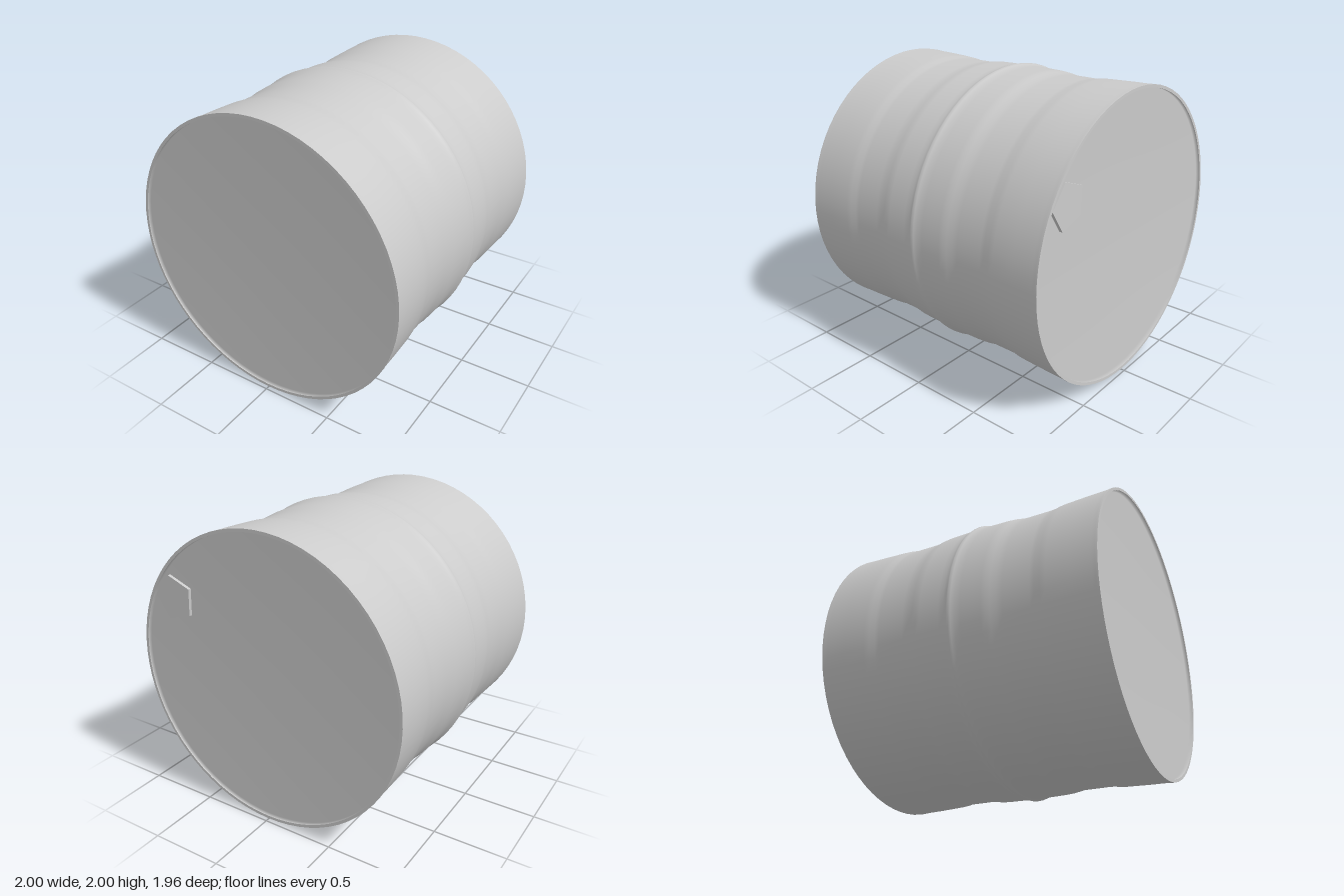
import * as THREE from 'three';

const SEGMENTS = 72;
const material = new THREE.MeshStandardMaterial({ color: 0xcccccc });

// Surface of revolution about z, from [radius, z] points
function lathe(name, points) {
  const geometry = new THREE.LatheGeometry(points.map(([r, z]) => new THREE.Vector2(r, z)), SEGMENTS);
  geometry.rotateX(Math.PI / 2);
  const mesh = new THREE.Mesh(geometry, material);
  mesh.name = name;
  return mesh;
}

// Rim and shallow recessed lid closing one end
function makeEnd(name) {
  const end = new THREE.Group();
  end.name = name;
  end.add(lathe('rim', [[0.99, 0.98], [0.97, 0.98]]));
  end.add(lathe('lid', [[0.97, 0.98], [0.97, 0.95], [0, 0.95]]));
  return end;
}

export function createModel() {
  const drum = new THREE.Group();
  drum.name = 'drum';
  const barrel = new THREE.Group();
  barrel.name = 'barrel';
  barrel.position.y = 1;
  drum.add(barrel);

  // Half of the wall, from the middle ridge to the rim
  const half = [
    [1, 0], [0.994, 0.015], [0.987, 0.04], [0.984, 0.08], [0.981, 0.22], [0.979, 0.25],
    [0.974, 0.28], [0.967, 0.32], [0.965, 0.36], [0.965, 0.54], [0.967, 0.57],
    [0.974, 0.61], [0.978, 0.65], [0.984, 0.8], [0.987, 0.94], [0.99, 0.965], [0.99, 0.98],
  ];
  const mirrored = half.slice(1).reverse().map(([r, z]) => [r, -z]);
  barrel.add(lathe('wall', [...mirrored, ...half]));

  // Two matching ends
  const backEnd = makeEnd('backEnd');
  backEnd.rotation.y = Math.PI;
  barrel.add(makeEnd('frontEnd'), backEnd);

  // Five-sided bung on the back lid
  const pentagon = new THREE.Shape();
  for (let i = 0; i < 5; i++) {
    const a = THREE.MathUtils.degToRad(75 + i * 72);
    const x = 0.155 * Math.cos(a), y = 0.155 * Math.sin(a);
    if (i === 0) pentagon.moveTo(x, y);
    else pentagon.lineTo(x, y);
  }
  pentagon.closePath();
  const bung = new THREE.Mesh(
    new THREE.ExtrudeGeometry(pentagon, { depth: 0.03, bevelEnabled: false }), material);
  bung.name = 'bung';
  bung.position.set(0.69, 0.44, -0.972);
  barrel.add(bung);

  return drum;
}
